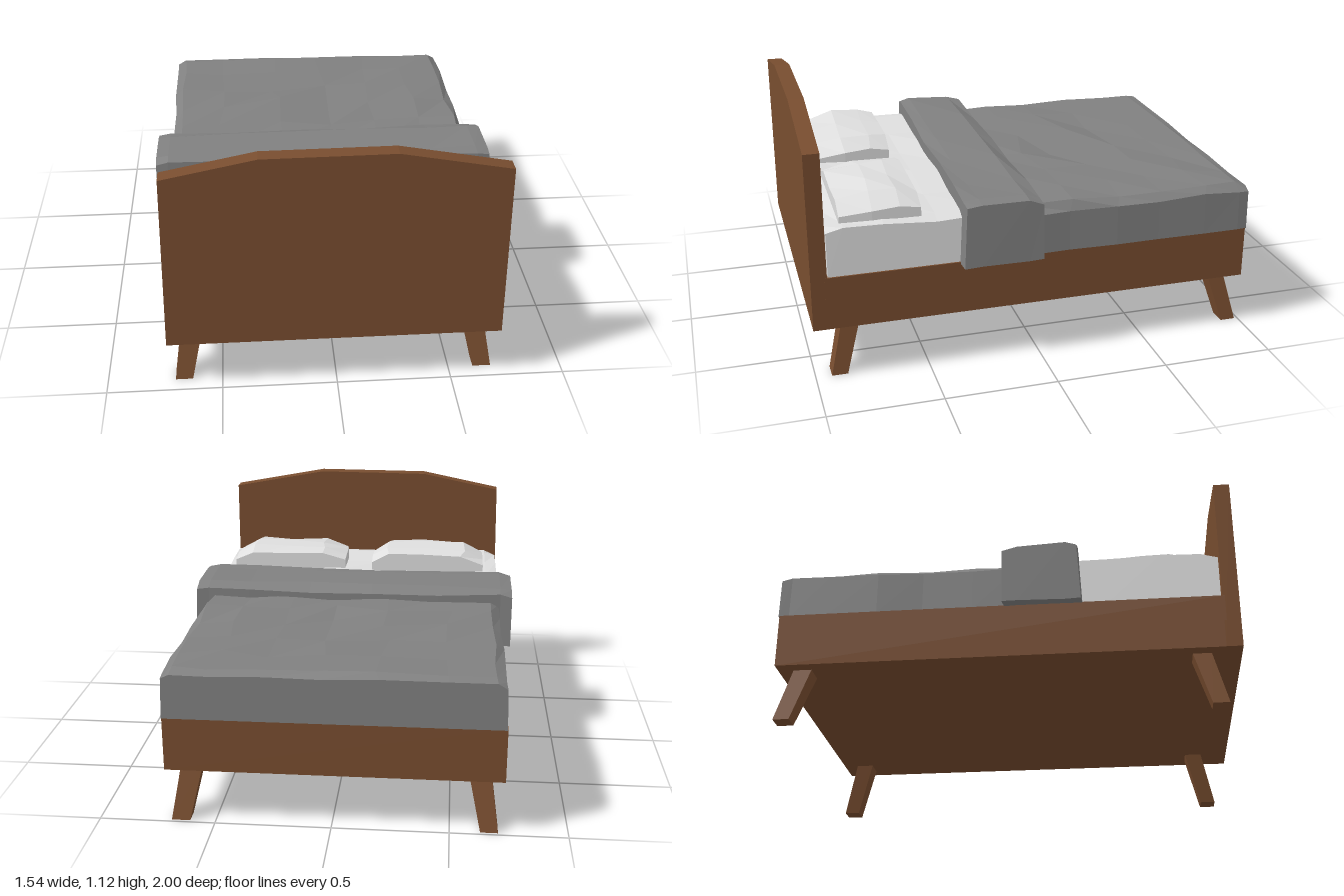
import * as THREE from 'three';

const wood = new THREE.MeshStandardMaterial({ color: 0x784d2f });
wood.name = 'brown wood';
const grey = new THREE.MeshStandardMaterial({ color: 0x808080 });
grey.name = 'grey blanket';
const white = new THREE.MeshStandardMaterial({ color: 0xdedede });
white.name = 'white linen';

// Repeatable noise in -1..1 from a grid position
function noise(i, j, seed) {
  const s = Math.sin(i * 127.1 + j * 311.7 + seed * 74.7) * 43758.5453;
  return (s - Math.floor(s)) * 2 - 1;
}

function addMesh(parent, name, geometry, material) {
  const flat = geometry.index ? geometry.toNonIndexed() : geometry;
  flat.computeVertexNormals();
  const mesh = new THREE.Mesh(flat, material);
  mesh.name = name;
  parent.add(mesh);
  return mesh;
}

function addBox(parent, name, material, [x0, x1], [y0, y1], [z0, z1]) {
  const g = new THREE.BoxGeometry(x1 - x0, y1 - y0, z1 - z0);
  g.translate((x0 + x1) / 2, (y0 + y1) / 2, (z0 + z1) / 2);
  return addMesh(parent, name, g, material);
}

// Faceted cloth block on a grid of x and z stations; shape() moves each corner
function clothBlock(xs, zs, [y0, y1], shape) {
  const nx = xs.length - 1, nz = zs.length - 1;
  const g = new THREE.BoxGeometry(nx, 1, nz, nx, 1, nz);
  const pos = g.attributes.position;
  for (let k = 0; k < pos.count; k++) {
    const i = Math.round(pos.getX(k) + nx / 2);
    const j = Math.round(pos.getZ(k) + nz / 2);
    const top = pos.getY(k) > 0;
    const p = new THREE.Vector3(xs[i], top ? y1 : y0, zs[j]);
    const side = i === 0 ? -1 : i === nx ? 1 : 0;
    const end = j === 0 ? -1 : j === nz ? 1 : 0;
    shape(p, { i, j, top, side, end });
    pos.setXYZ(k, p.x, p.y, p.z);
  }
  return g;
}

// Splayed, tapering leg: sx and sz give its corner
function legGeometry(sx, sz) {
  const top = sz > 0 ? [0.79, 0.87] : [-0.92, -0.84];
  const foot = sz > 0 ? [0.86, 0.93] : [-0.985, -0.915];
  const xTop = sx > 0 ? [0.555, 0.65] : [-0.67, -0.575];
  const xFoot = sx > 0 ? [0.61, 0.69] : [-0.705, -0.63];
  const g = new THREE.BoxGeometry(1, 1, 1);
  const pos = g.attributes.position;
  for (let k = 0; k < pos.count; k++) {
    const up = pos.getY(k) > 0;
    const a = pos.getX(k) > 0 ? 1 : 0, b = pos.getZ(k) > 0 ? 1 : 0;
    pos.setXYZ(k, (up ? xTop : xFoot)[a], up ? 0.25 : 0, (up ? top : foot)[b]);
  }
  return g;
}

export function createModel() {
  const bed = new THREE.Group();
  bed.name = 'bed';

  // Base frame
  addBox(bed, 'bedFrame', wood, [-0.728, 0.71], [0.24, 0.48], [-0.99, 0.94]);

  // Headboard with a shallow faceted crown
  const outline = new THREE.Shape([
    [-0.73, 0.24], [0.71, 0.24], [0.708, 1.037], [0.24, 1.124], [-0.32, 1.12], [-0.717, 1.04],
  ].map(([x, y]) => new THREE.Vector2(x, y)));
  const board = new THREE.ExtrudeGeometry(outline, { depth: 0.07, bevelEnabled: false });
  board.translate(0, 0, 0.93);
  addMesh(bed, 'headboard', board, wood);

  // Four legs
  for (const sx of [-1, 1]) for (const sz of [-1, 1]) {
    const name = (sz > 0 ? 'front' : 'back') + (sx > 0 ? 'Left' : 'Right') + 'Leg';
    addMesh(bed, name, legGeometry(sx, sz), wood);
  }

  // Mattress, showing between the blanket fold and the headboard
  const mattress = clothBlock(
    [-0.722, -0.66, -0.4, -0.12, 0.15, 0.42, 0.64, 0.703], [0.2, 0.45, 0.68, 0.85, 0.925], [0.475, 0.7],
    (p, c) => {
      if (!c.top) return;
      p.y += 0.012 * noise(c.i, c.j, 1) - (c.side ? 0.012 : 0);
      if (c.end > 0) p.y -= 0.012;
      p.x -= c.side * 0.006;
    });
  addMesh(bed, 'mattress', mattress, white);

  // Blanket with drooping sides and a raised diagonal crease
  const blanket = clothBlock(
    [-0.72, -0.68, -0.48, -0.2, 0.04, 0.28, 0.5, 0.67, 0.715],
    [-0.995, -0.95, -0.78, -0.56, -0.36, -0.14, 0.06], [0.478, 0.695],
    (p, c) => {
      if (c.side) p.x += 0.006 * noise(c.i, c.j, 3);
      if (!c.top) return;
      if (c.side) {
        p.y -= 0.03 + 0.012 * noise(c.i, c.j, 4);
        p.x -= c.side * 0.006;
      } else if (c.end < 0) {
        p.y -= 0.02 + 0.008 * noise(c.i, c.j, 5);
      } else {
        p.y += 0.012 * noise(c.i, c.j, 6);
        p.x += 0.025 * noise(c.i, c.j, 7) * (Math.abs(p.x) < 0.6 ? 1 : 0.4);
        p.z += 0.03 * noise(c.i, c.j, 8) * (p.z > -0.9 ? 1 : 0.2);
        if (c.i === 3 && c.j === 4) p.set(-0.18, 0.712, -0.42);
        if (c.i === 4 && c.j === 4) p.set(0.06, 0.675, -0.26);
      }
    });
  addMesh(bed, 'blanket', blanket, grey);

  // Folded band of blanket, hanging over both sides
  const fold = clothBlock(
    [-0.775, -0.72, -0.42, -0.1, 0.2, 0.5, 0.7, 0.765], [0, 0.06, 0.27, 0.345], [0.475, 0.755],
    (p, c) => {
      p.z += c.end * 0.012 * noise(c.i, c.j, 9);
      if (!c.top) {
        p.y += 0.005 * noise(c.i, c.j, 10);
        if (c.side > 0) p.x += 0.004;
        return;
      }
      p.y += 0.008 * noise(c.i, c.j, 11);
      if (c.side) p.y -= 0.008;
      if (c.side > 0) p.x -= 0.008;
      if (c.end < 0) p.y -= 0.025;
      if (c.end > 0) {
        p.y -= 0.004;
        p.z -= 0.015;
      }
    });
  addMesh(bed, 'blanketFold', fold, grey);

  // Two soft faceted pillows, sloping down to the headboard
  for (const [name, cx, seed] of [['rightPillow', -0.355, 12], ['leftPillow', 0.365, 17]]) {
    const xs = [-0.29, -0.17, 0.02, 0.2, 0.29].map((x) => x + cx);
    const pillow = clothBlock(xs, [0.51, 0.6, 0.72, 0.86], [0.685, 0.785], (p, c) => {
      if (c.end > 0) p.x = cx + (p.x - cx) * 0.95;
      if (!c.top) return;
      p.y += 0.008 * noise(c.i, c.j, seed);
      if (c.side) p.y -= 0.04;
      if (c.end > 0) p.y -= 0.025;
      if (c.end < 0) p.y -= 0.008;
      if (!c.side && !c.end) {
        p.x += 0.03 * noise(c.i, c.j, seed + 1);
        p.z += 0.025 * noise(c.i, c.j, seed + 2);
        p.y += 0.005;
      }
    });
    addMesh(bed, name, pillow, white);
  }

  return bed;
}
